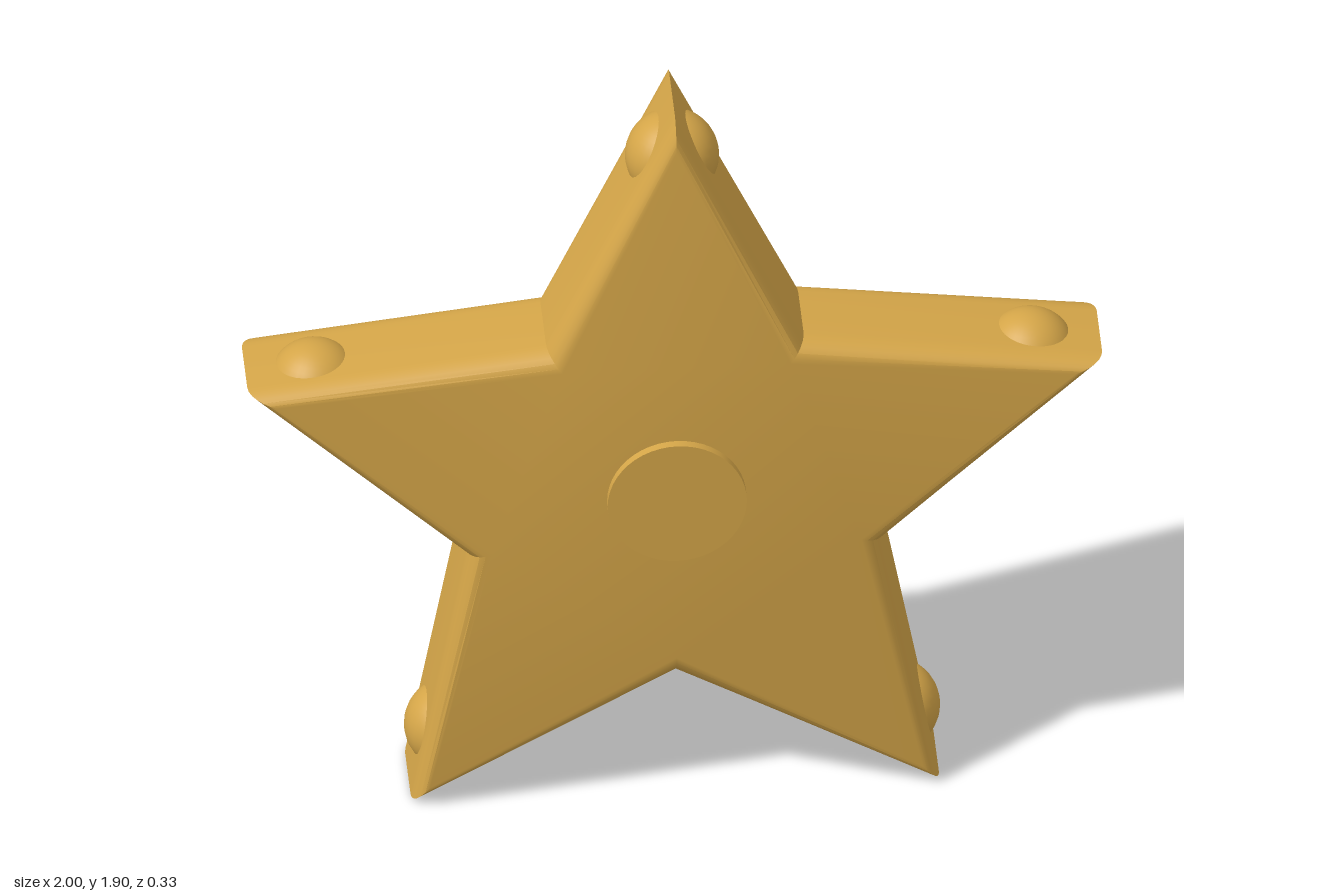
import * as THREE from 'three';
import { toCreasedNormals } from 'three/addons/utils/BufferGeometryUtils.js';

const CENTER_Y = 0.85;
const HALF_DEPTH = 0.143;
const BEVEL = 0.05;
const BEVEL_DEPTH = 0.06;

// Five-pointed outline, first point straight up
function starShape(outer, inner) {
  const points = [];
  for (let i = 0; i < 10; i++) {
    const r = i % 2 === 0 ? outer : inner;
    const a = Math.PI / 2 + (i * Math.PI) / 5;
    points.push(new THREE.Vector2(r * Math.cos(a), r * Math.sin(a)));
  }
  return new THREE.Shape(points);
}

export function createModel() {
  const model = new THREE.Group();
  model.name = 'starBadge';
  const gold = new THREE.MeshStandardMaterial({ color: 0xd4a548 });
  gold.name = 'gold';

  const add = (name, geometry, x, y, z) => {
    const mesh = new THREE.Mesh(geometry, gold);
    mesh.name = name;
    mesh.position.set(x, y, z);
    model.add(mesh);
    return mesh;
  };

  // Thick star with softly rounded rims
  const core = 2 * (HALF_DEPTH - BEVEL_DEPTH);
  const body = new THREE.ExtrudeGeometry(starShape(0.981, 0.455), {
    depth: core,
    bevelEnabled: true,
    bevelSize: BEVEL,
    bevelThickness: BEVEL_DEPTH,
    bevelSegments: 6,
  });
  body.translate(0, 0, -core / 2);
  add('starBody', toCreasedNormals(body, Math.PI / 6), 0, CENTER_Y, 0);

  // Round hub showing on both faces
  const hub = new THREE.CylinderGeometry(0.163, 0.163, 0.33, 48);
  hub.rotateX(Math.PI / 2);
  add('centerHub', hub, 0, CENTER_Y, 0);

  // Ball set into each arm near its tip
  const ball = new THREE.SphereGeometry(0.11, 32, 24);
  for (let i = 0; i < 5; i++) {
    const a = Math.PI / 2 + (i * 2 * Math.PI) / 5;
    add('tipBall' + (i + 1), ball, 0.88 * Math.cos(a), CENTER_Y + 0.88 * Math.sin(a), 0);
  }

  return model;
}
